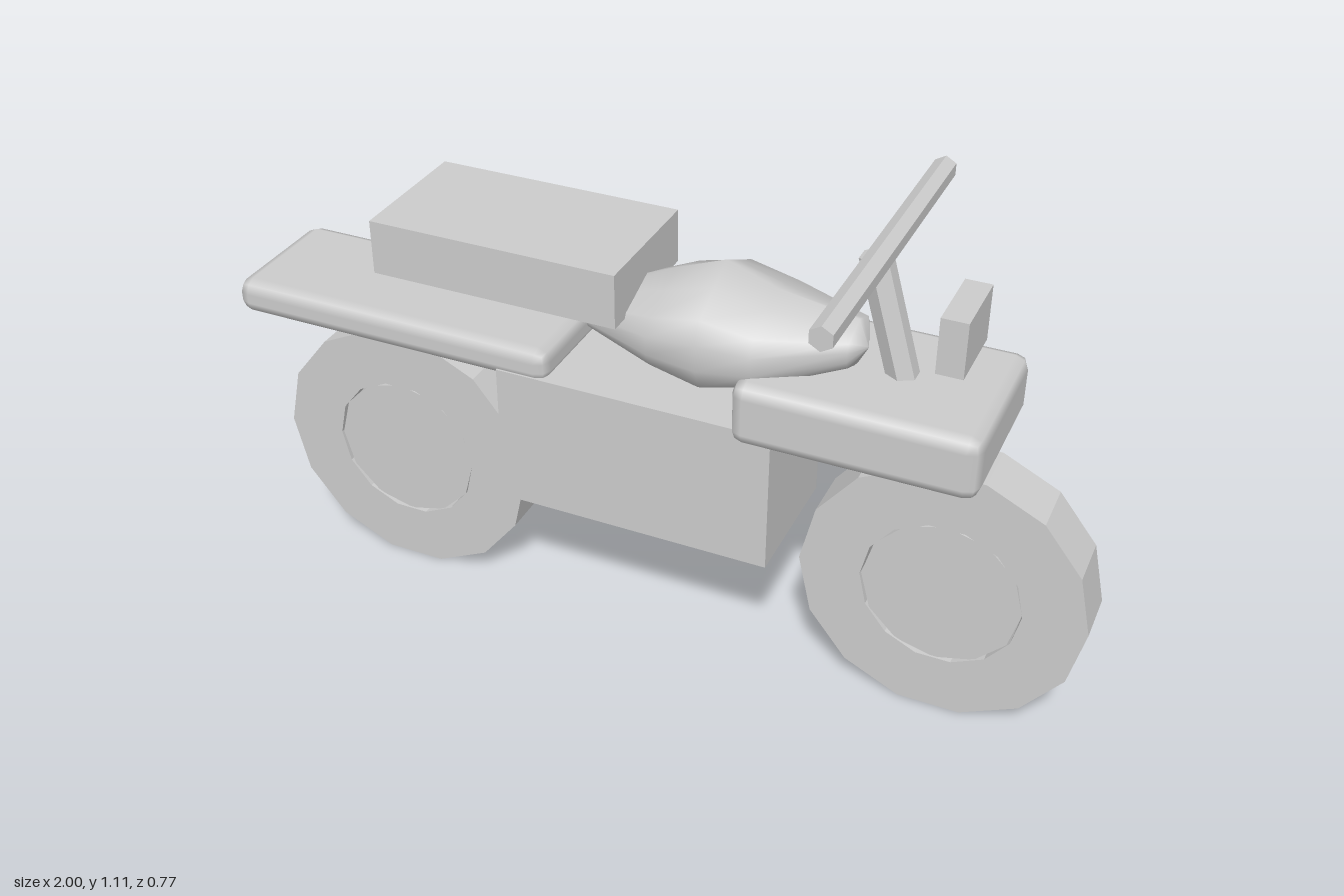
import * as THREE from 'three';
import { RoundedBoxGeometry } from 'three/addons/geometries/RoundedBoxGeometry.js';

const grey = new THREE.MeshStandardMaterial({ color: 0xcccccc });
grey.name = 'light grey';

function add(parent, name, geometry, x = 0, y = 0, z = 0) {
  const mesh = new THREE.Mesh(geometry, grey);
  mesh.name = name;
  mesh.position.set(x, y, z);
  parent.add(mesh);
  return mesh;
}

// box given by its limits in x and y and its half width in z
function addBox(parent, name, x0, x1, y0, y1, halfZ, radius = 0) {
  const size = [x1 - x0, y1 - y0, halfZ * 2];
  const geometry = radius ? new RoundedBoxGeometry(...size, 1, radius) : new THREE.BoxGeometry(...size);
  return add(parent, name, geometry, (x0 + x1) / 2, (y0 + y1) / 2, 0);
}

// six-sided bar with flat faces, running along y
function hexBar(radius, length) {
  const geometry = new THREE.CylinderGeometry(radius, radius, length, 6).toNonIndexed();
  geometry.computeVertexNormals();
  return geometry;
}

function polygon(radius, sides) {
  return Array.from({ length: sides }, (_, i) => {
    const a = (i / sides) * Math.PI * 2;
    return new THREE.Vector2(radius * Math.cos(a), radius * Math.sin(a));
  });
}

// faceted tyre ring with a slightly recessed disc inside
function makeWheel(name, x) {
  const wheel = new THREE.Group();
  wheel.name = name;
  wheel.position.set(x, 0.312, 0);
  const shape = new THREE.Shape(polygon(0.32, 14));
  shape.holes.push(new THREE.Path(polygon(0.18, 14)));
  const tyre = new THREE.ExtrudeGeometry(shape, { depth: 0.126, bevelEnabled: false });
  add(wheel, 'tyre', tyre, 0, 0, -0.063);
  const disc = new THREE.CylinderGeometry(0.178, 0.178, 0.116, 12).toNonIndexed();
  disc.computeVertexNormals();
  disc.rotateX(Math.PI / 2);
  add(wheel, 'hubDisc', disc);
  return wheel;
}

// fuel tank lofted along x from scaled cross-sections
function tankGeometry() {
  const half = [[1, 0], [0.78, 0.4], [0.53, 0.87], [0.2, 1], [-0.2, 1], [-0.53, 0.87], [-0.78, 0.4], [-1, 0]];
  const ring = [...half, ...half.slice(1, -1).reverse().map(([y, z]) => [y, -z])];
  // x, centre y, half height, half width
  const sections = [
    [-0.172, 0.808, 0, 0],
    [-0.148, 0.803, 0.05, 0.07],
    [0.03, 0.823, 0.107, 0.153],
    [0.145, 0.825, 0.15, 0.163],
    [0.26, 0.827, 0.107, 0.153],
    [0.438, 0.85, 0.054, 0.07],
    [0.462, 0.843, 0, 0],
  ];
  const positions = [], index = [], n = ring.length;
  sections.forEach(([x, cy, h, w], s) => {
    ring.forEach(([y, z], i) => {
      positions.push(x, cy + y * h, z * w);
      if (s === sections.length - 1) return;
      const a = s * n + i, b = s * n + ((i + 1) % n);
      index.push(a, b, a + n, b, b + n, a + n);
    });
  });
  const geometry = new THREE.BufferGeometry();
  geometry.setAttribute('position', new THREE.Float32BufferAttribute(positions, 3));
  geometry.setIndex(index);
  geometry.computeVertexNormals();
  return geometry;
}

export function createModel() {
  const bike = new THREE.Group();
  bike.name = 'motorcycle';

  // wheels
  bike.add(makeWheel('rearWheel', -0.644), makeWheel('frontWheel', 0.678));

  // body, seat and fenders
  addBox(bike, 'engineBlock', -0.325, 0.315, 0.338, 0.676, 0.16);
  addBox(bike, 'seat', -0.615, -0.035, 0.85, 0.976, 0.16);
  addBox(bike, 'rearFender', -1, -0.205, 0.658, 0.74, 0.16, 0.03);
  addBox(bike, 'frontFender', 0.23, 0.758, 0.657, 0.802, 0.191, 0.03);
  add(bike, 'fuelTank', tankGeometry());

  // steering
  const column = add(bike, 'steeringColumn', hexBar(0.035, 0.465), 0.526, 0.837, 0);
  column.rotation.z = 0.283;
  const bar = add(bike, 'handlebar', hexBar(0.027, 0.768), 0.485, 1.082, 0);
  bar.rotation.x = Math.PI / 2;
  addBox(bike, 'headlight', 0.624, 0.682, 0.871, 0.998, 0.084);

  // exhaust on the far side, rising to the rear
  const exhaust = add(bike, 'exhaustPipe', hexBar(0.054, 0.593), -0.542, 0.403, -0.19);
  exhaust.rotation.z = 1.341;

  return bike;
}
